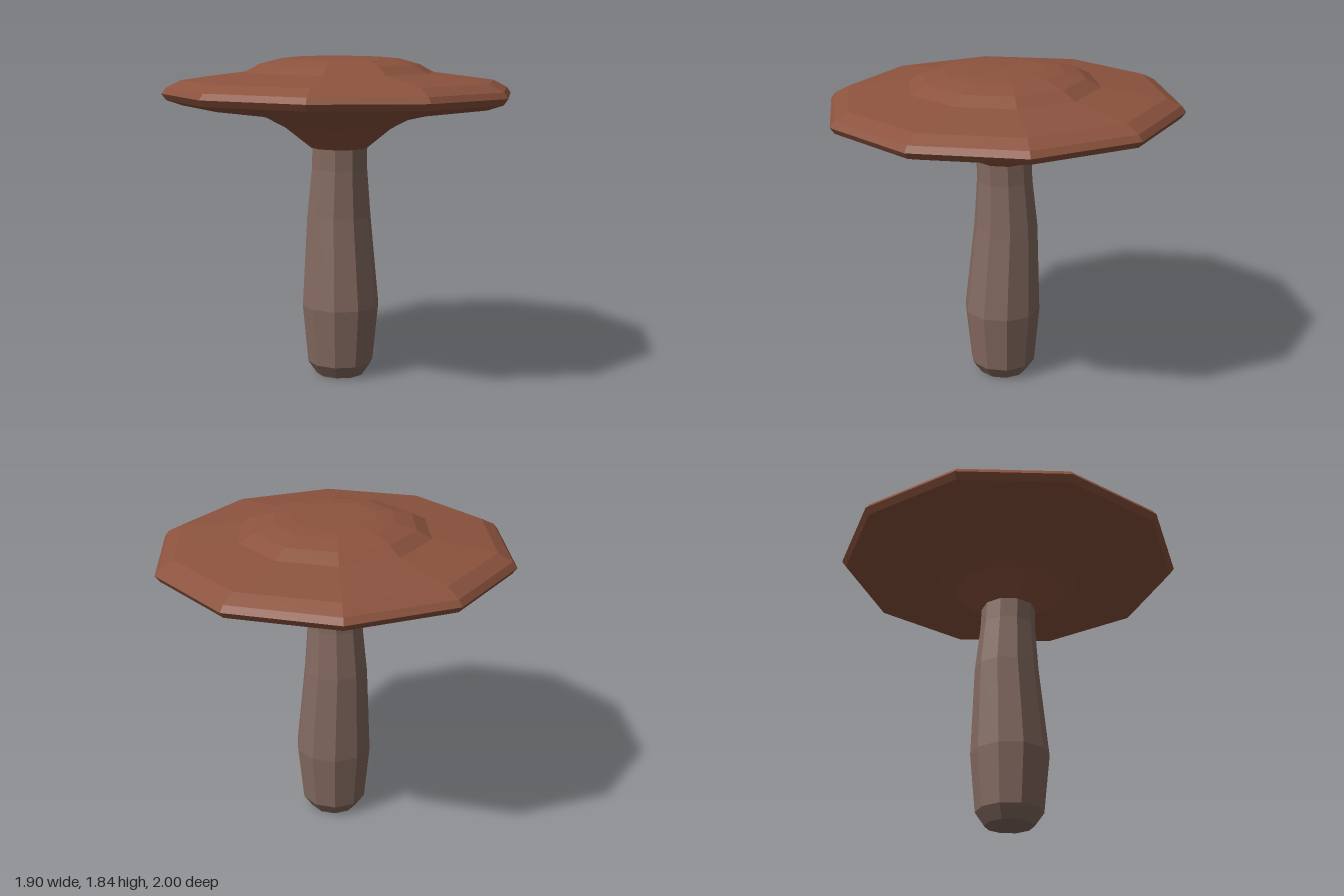
import * as THREE from 'three';

const SIDES = 10;

// Faceted lathe from [radius, y, zShift] rings, bottom to top
function facetedLathe(name, rings, material) {
  const points = rings.map(([r, y]) => new THREE.Vector2(r, y));
  const geometry = new THREE.LatheGeometry(points, SIDES);
  const pos = geometry.attributes.position;
  for (let i = 0; i < pos.count; i++) {
    pos.setZ(i, pos.getZ(i) + (rings[i % rings.length][2] || 0));
  }
  geometry.computeVertexNormals();
  const mesh = new THREE.Mesh(geometry, material);
  mesh.name = name;
  return mesh;
}

export function createModel() {
  const capBrown = new THREE.MeshStandardMaterial({ color: 0x8c533e, flatShading: true });
  capBrown.name = 'capBrown';
  const stemBrown = new THREE.MeshStandardMaterial({ color: 0x83695f, flatShading: true });
  stemBrown.name = 'stemBrown';

  const model = new THREE.Group();
  model.name = 'mushroom';

  // Stem: swollen low down, with a gentle bend along z
  model.add(facetedLathe('stem', [
    [0, 0, 0.005], [0.138, 0, 0.005], [0.19, 0.075, 0.007], [0.222, 0.41, 0.01],
    [0.184, 0.93, -0.013], [0.16, 1.2, -0.005], [0.158, 1.335, 0],
  ], stemBrown));

  // Cap: flared underside, thin rim and a low raised crown; profile is relative to the rim height
  const rimY = 1.631;
  const cap = facetedLathe('cap', [
    [0, 1.322], [0.163, 1.322], [0.312, 1.439], [0.42, 1.495], [0.526, 1.52],
    [0.884, 1.566], [0.975, 1.596], [1, 1.631], [0.975, 1.664], [0.894, 1.705],
    [0.54, 1.75], [0.456, 1.795], [0.339, 1.826], [0.24, 1.835], [0, 1.836],
  ].map(([r, y]) => [r, y - rimY]), capBrown);
  cap.position.y = rimY;
  cap.rotation.x = 0.011; // slight tilt towards the front
  model.add(cap);

  return model;
}
